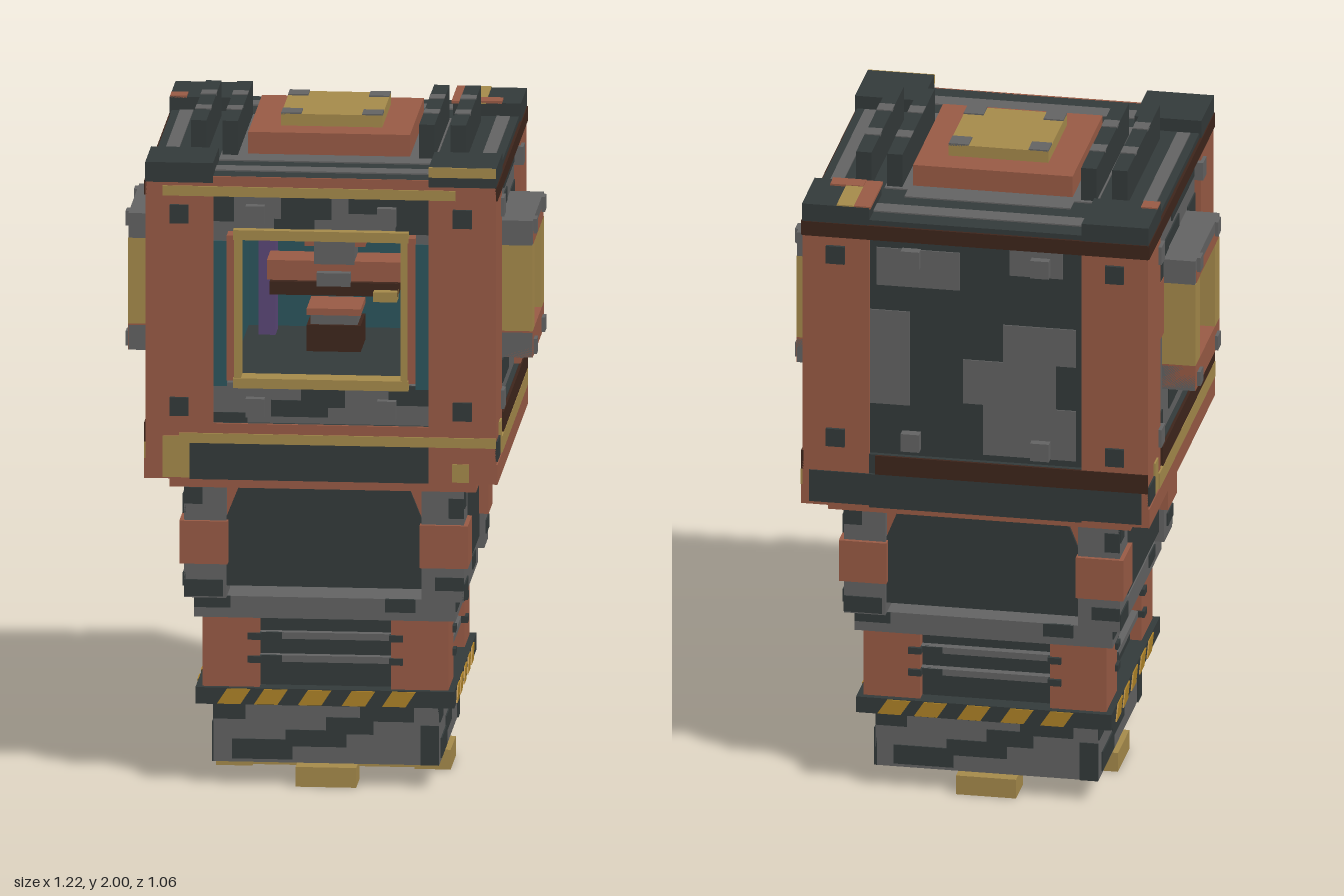
import * as THREE from 'three';

const colour = (name, hex) => {
  const m = new THREE.MeshStandardMaterial({ color: hex });
  m.name = name;
  return m;
};
const slate = colour('slate', 0x343b3b), grey = colour('grey', 0x646464), copper = colour('copper', 0x9b5c46);
const gold = colour('gold', 0xa88c4c), brown = colour('dark brown', 0x3f261c), teal = colour('teal', 0x2c565e);
const purple = colour('purple', 0x5c4879), amber = colour('amber', 0xb08428);

// Box given by its low and high corner on each axis
function box(parent, name, mat, x0, x1, y0, y1, z0, z1) {
  const m = new THREE.Mesh(new THREE.BoxGeometry(x1 - x0, y1 - y0, z1 - z0), mat);
  m.position.set((x0 + x1) / 2, (y0 + y1) / 2, (z0 + z1) / 2);
  m.name = name;
  parent.add(m);
  return m;
}
// Thin painted patches lying on a +z surface: [x0, x1, y0, y1]
function paint(parent, name, mat, z, rects) {
  rects.forEach(([a, b, c, d]) => box(parent, name, mat, a, b, c, d, z - 0.004, z + 0.004));
}
// Extruded outline in the xy plane, with an optional hole
function plate(parent, name, mat, pts, hole, z0, z1) {
  const s = new THREE.Shape(pts.map(p => new THREE.Vector2(...p)));
  if (hole) s.holes.push(new THREE.Path(hole.map(p => new THREE.Vector2(...p))));
  const m = new THREE.Mesh(new THREE.ExtrudeGeometry(s, { depth: z1 - z0, bevelEnabled: false }), mat);
  m.position.z = z0;
  m.name = name;
  parent.add(m);
}
const rect = (a, b, c, d) => [[a, c], [b, c], [b, d], [a, d]];

function corners(parent, name, mat, inner, outer, y0, y1) {
  for (const sx of [-1, 1]) for (const sz of [-1, 1]) {
    const mid = (inner + outer) / 2, h = (outer - inner) / 2;
    box(parent, name, mat, sx * mid - h, sx * mid + h, y0, y1, sz * mid - h, sz * mid + h);
  }
}

// Local side group: x to the right, z outwards; 0 front, 1 left, 2 back, 3 right
function side(parent, k) {
  const g = new THREE.Group();
  g.name = ['frontSide', 'leftSide', 'backSide', 'rightSide'][k];
  g.rotation.y = k * Math.PI / 2;
  parent.add(g);
  return g;
}

function frontWindow(g) {
  plate(g, 'frontWall', grey, rect(-0.32, 0.32, 1.14, 1.83), rect(-0.28, 0.28, 1.26, 1.72), 0.46, 0.5);
  paint(g, 'camouflage', slate, 0.5, [[-0.32, -0.26, 1.75, 1.83], [-0.12, 0.03, 1.76, 1.83], [0.08, 0.32, 1.78, 1.83],
    [-0.14, -0.02, 1.73, 1.76], [0.22, 0.32, 1.72, 1.78], [-0.32, -0.22, 1.14, 1.17], [-0.06, 0.07, 1.19, 1.25],
    [-0.15, 0.02, 1.16, 1.21], [0.2, 0.32, 1.2, 1.26]]);
  paint(g, 'tealBorder', teal, 0.501, [[-0.32, -0.28, 1.25, 1.69], [0.28, 0.32, 1.25, 1.69]]);
  // Frame round the opening
  for (const s of [-1, 1]) {
    box(g, 'copperWindowBar', copper, s * 0.267 - 0.013, s * 0.267 + 0.013, 1.27, 1.71, 0.46, 0.515);
    box(g, 'goldWindowPost', gold, s * 0.247 - 0.01, s * 0.247 + 0.01, 1.27, 1.71, 0.47, 0.525);
  }
  for (const y of [1.25, 1.7]) box(g, 'goldWindowRail', gold, -0.26, 0.26, y, y + 0.03, 0.46, 0.53);
  // Lined chamber
  box(g, 'chamberBack', teal, -0.3, 0.3, 1.24, 1.74, -0.26, -0.24);
  for (const s of [-1, 1]) {
    box(g, 'chamberSide', teal, s * 0.29 - 0.01, s * 0.29 + 0.01, 1.24, 1.74, -0.24, 0.46);
    box(g, 'purpleLight', purple, s * 0.215 - 0.025, s * 0.215 + 0.025, 1.26, 1.7, -0.2, -0.12);
  }
  box(g, 'chamberFloor', slate, -0.3, 0.3, 1.24, 1.26, -0.24, 0.46);
  box(g, 'chamberCeiling', slate, -0.3, 0.3, 1.72, 1.74, -0.24, 0.46);
  // Mechanism inside
  box(g, 'upperPiston', grey, -0.06, 0.06, 1.52, 1.72, -0.06, 0.06);
  box(g, 'lowerPiston', grey, -0.07, 0.07, 1.34, 1.37, -0.07, 0.07);
  box(g, 'pistonBase', brown, -0.08, 0.08, 1.26, 1.34, -0.08, 0.08);
  box(g, 'pistonTrim', copper, -0.08, 0.08, 1.37, 1.39, -0.08, 0.08);
  box(g, 'mechanismBar', brown, -0.19, 0.19, 1.43, 1.47, -0.06, 0.08);
  box(g, 'mechanismTop', copper, -0.2, 0.2, 1.47, 1.53, -0.06, 0.06);
  box(g, 'mechanismTooth', grey, -0.05, 0.05, 1.46, 1.5, 0.05, 0.09);
  box(g, 'mechanismTip', gold, 0.12, 0.19, 1.42, 1.45, 0.05, 0.11);
  for (const s of [-1, 1]) box(g, 'pistonLug', copper, s * 0.075 - 0.015, s * 0.075 + 0.015, 1.57, 1.61, -0.04, 0.04);
}

function sideWindow(g) {
  plate(g, 'sideWall', grey, rect(-0.32, 0.32, 1.14, 1.83), rect(-0.12, 0.12, 1.36, 1.62), 0.46, 0.5);
  paint(g, 'camouflage', slate, 0.5, [[-0.32, -0.2, 1.79, 1.83], [-0.05, 0.32, 1.76, 1.83], [-0.32, -0.1, 1.64, 1.71],
    [-0.18, 0.06, 1.7, 1.74], [0.2, 0.32, 1.64, 1.7], [-0.32, -0.2, 1.14, 1.22], [-0.1, 0.1, 1.18, 1.25],
    [0.05, 0.24, 1.22, 1.28], [0.2, 0.32, 1.27, 1.4]]);
  paint(g, 'copperPatch', copper, 0.501, [[-0.32, -0.19, 1.46, 1.64], [0.19, 0.32, 1.46, 1.64]]);
  // Projecting square port
  for (const s of [-1, 1]) {
    box(g, 'portPost', gold, s * 0.155 - 0.035, s * 0.155 + 0.035, 1.36, 1.62, 0.49, 0.6);
    for (const y of [1.28, 1.62]) box(g, 'portEnd', grey, s * 0.182 - 0.008, s * 0.182 + 0.008, y, y + 0.075, 0.49, 0.599);
    for (const y of [1.285, 1.65]) box(g, 'portStud', grey, s * 0.14 - 0.022, s * 0.14 + 0.022, y, y + 0.045, 0.59, 0.61);
    plate(g, 'portChamfer', copper, [[s * 0.12, 1.62], [s * 0.07, 1.62], [s * 0.12, 1.57]], null, 0.47, 0.5);
  }
  box(g, 'portLowerBar', copper, -0.19, 0.19, 1.28, 1.36, 0.49, 0.6);
  box(g, 'portUpperBar', copper, -0.174, 0.174, 1.62, 1.66, 0.49, 0.6);
  box(g, 'portCap', grey, -0.19, 0.19, 1.66, 1.695, 0.49, 0.6);
  box(g, 'portBack', grey, -0.14, 0.14, 1.34, 1.64, 0.31, 0.33);
  // Small linkage in the port
  box(g, 'portLinkTop', copper, -0.13, 0, 1.47, 1.53, 0.33, 0.36);
  box(g, 'portLinkBar', brown, -0.12, -0.04, 1.42, 1.47, 0.33, 0.36);
  box(g, 'portLinkTip', gold, -0.09, -0.04, 1.43, 1.49, 0.36, 0.38);
}

function backWall(g) {
  box(g, 'backWall', slate, -0.32, 0.32, 1.14, 1.83, 0.46, 0.5);
  paint(g, 'camouflage', grey, 0.5, [[0.02, 0.3, 1.16, 1.32], [-0.04, 0.24, 1.32, 1.46], [0.08, 0.3, 1.46, 1.58],
    [-0.32, -0.2, 1.3, 1.6], [-0.3, -0.05, 1.68, 1.8], [0.1, 0.26, 1.74, 1.83]]);
}

function head(root) {
  const g = new THREE.Group();
  g.name = 'head';
  root.add(g);
  corners(g, 'cornerPillar', copper, 0.32, 0.52, 0.97, 1.87);
  corners(g, 'cornerCap', slate, 0.32, 0.521, 1.87, 1.93);
  box(g, 'roof', slate, -0.515, 0.515, 1.83, 1.89, -0.515, 0.515);
  box(g, 'lowerBelt', slate, -0.515, 0.515, 0.97, 1.14, -0.515, 0.515);
  box(g, 'lowerLip', copper, -0.455, 0.455, 0.93, 0.97, -0.455, 0.455);
  for (let k = 0; k < 4; k++) {
    const s = side(g, k);
    if (k === 0) frontWindow(s);
    else if (k === 2) backWall(s);
    else sideWindow(s);
    // Trim belts above and below the wall
    if (k === 0) {
      paint(s, 'goldTrim', gold, 0.521, [[-0.47, 0.4, 1.83, 1.86], [-0.42, 0.52, 1.08, 1.11], [-0.47, -0.39, 0.975, 1.1],
        [0.39, 0.44, 0.975, 1.03], [0.32, 0.52, 1.9, 1.93]]);
      paint(s, 'copperTrim', copper, 0.516, [[-0.32, 0.32, 1.11, 1.14], [-0.32, 0.32, 1.86, 1.89]]);
      paint(s, 'darkBelt', slate, 0.52, [[-0.39, 0.32, 0.97, 1.08]]);
    } else {
      paint(s, 'brownTrim', brown, 0.52, [[-0.52, 0.52, 1.83, 1.875], [-0.3, 0.52, 1.08, 1.14]]);
      if (k === 2) paint(s, 'darkBelt', slate, 0.52, [[-0.5, 0.5, 0.98, 1.08]]);
      else {
        paint(s, 'copperBelt', copper, 0.52, [[-0.52, 0.52, 0.97, 1.03]]);
        paint(s, 'goldTrim', gold, 0.521, [[-0.36, 0.52, 1.03, 1.08], [-0.43, -0.38, 1.04, 1.14]]);
        paint(s, 'darkPatch', slate, 0.521, [[-0.52, -0.43, 1.04, 1.1]]);
      }
    }
    // Studs
    for (const y of [1.775, 1.19]) for (const x of k % 2 ? [-0.33, 0.33] : [-0.42, -0.195, 0.195, 0.42])
      box(s, 'stud', Math.abs(x) < 0.4 ? grey : slate, x - 0.028, x + 0.028, y - 0.028, y + 0.028, 0.49, 0.53);
  }
  // Roof painting, plates and rails
  const flat = (name, mat, a, b, c, d, y = 1.89) => box(g, name, mat, a, b, y - 0.004, y + 0.004, c, d);
  flat('roofField', grey, -0.32, 0.32, -0.27, 0.32);
  flat('roofField', grey, -0.25, 0.25, -0.325, -0.27);
  for (const s of [-1, 1]) {
    flat('roofStripe', grey, -0.32, 0.32, s * 0.42 - 0.03, s * 0.42 + 0.03);
    flat('roofStripe', grey, s * 0.47 - 0.02, s * 0.47 + 0.02, -0.31, 0.31);
    for (const x of [0.292, 0.385]) {
      box(g, 'roofRail', slate, s * x - 0.023, s * x + 0.023, 1.89, 1.997, -0.257, 0.257);
      for (const z of [-0.1, 0.09]) flat('railPatch', grey, s * x - 0.023, s * x + 0.023, z - 0.025, z + 0.025, 1.996);
    }
  }
  box(g, 'roofPlate', copper, -0.24, 0.24, 1.89, 1.96, -0.24, 0.237);
  box(g, 'roofButton', gold, -0.15, 0.15, 1.96, 1.996, -0.15, 0.147);
  for (const x of [-0.12, 0.12]) for (const z of [-0.12, 0.117])
    flat('buttonCorner', grey, x - 0.03, x + 0.03, z - 0.03, z + 0.03, 1.996);
  flat('capGoldStripe', gold, 0.365, 0.417, -0.52, -0.32, 1.93);
  flat('capCopperStripe', copper, 0.315, 0.365, -0.52, -0.32, 1.93);
  flat('capCopperPatch', copper, 0.365, 0.465, -0.37, -0.32, 1.932);
  flat('capCopperPatch', copper, -0.52, -0.47, -0.37, -0.32, 1.93);
}

function stem(root) {
  const g = new THREE.Group();
  g.name = 'stem';
  root.add(g);
  // Neck hanging between four posts, open below
  box(g, 'neckCore', copper, -0.39, 0.39, 0.62, 0.93, -0.39, 0.39);
  corners(g, 'neckPost', grey, 0.29, 0.415, 0.585, 0.93);
  corners(g, 'neckBracket', copper, 0.285, 0.428, 0.69, 0.82);
  box(g, 'neckLight', purple, -0.1, 0.1, 0.607, 0.62, -0.1, 0.1);
  box(g, 'collar', grey, -0.388, 0.388, 0.52, 0.585, -0.388, 0.388);
  // Ribbed waist
  box(g, 'waistCore', slate, -0.33, 0.33, 0.3, 0.52, -0.33, 0.33);
  corners(g, 'waistPost', copper, 0.195, 0.365, 0.305, 0.52);
  box(g, 'hazardBelt', slate, -0.384, 0.384, 0.255, 0.305, -0.384, 0.384);
  box(g, 'base', grey, -0.335, 0.335, 0.07, 0.255, -0.335, 0.335);
  for (let k = 0; k < 4; k++) {
    const s = side(g, k);
    plate(s, 'neckPanel', slate, [[-0.29, 0.62], [0.29, 0.62], [0.29, 0.83], [0.25, 0.93], [-0.25, 0.93], [-0.29, 0.83]],
      null, 0.385, 0.4);
    paint(s, 'postPatch', slate, 0.415, [[-0.415, -0.3, 0.59, 0.64], [-0.415, -0.36, 0.87, 0.92], [0.33, 0.415, 0.62, 0.66],
      [0.37, 0.415, 0.84, 0.9]]);
    paint(s, 'collarPatch', slate, 0.388, [[-0.388, -0.28, 0.55, 0.585], [0.18, 0.27, 0.545, 0.585]]);
    for (const y of [0.39, 0.46]) {
      box(s, 'waistRib', grey, -0.195, 0.195, y - 0.01, y + 0.01, 0.32, 0.355);
      paint(s, 'ribPatch', slate, 0.354, [[-0.195, -0.13, y - 0.01, y + 0.01]]);
      for (const e of [-1, 1]) box(s, 'waistPin', slate, e * 0.21 - 0.02, e * 0.21 + 0.02, y - 0.01, y + 0.01, 0.35, 0.375);
    }
    // Slanted warning stripes
    for (const x of [-0.28, -0.17, -0.04, 0.09, 0.21])
      plate(s, 'warningStripe', amber, [[x - 0.04, 0.257], [x + 0.03, 0.257], [x + 0.06, 0.303], [x - 0.01, 0.303]],
        null, 0.383, 0.388);
    paint(s, 'camouflage', slate, 0.335, [[-0.335, -0.24, 0.2, 0.255], [-0.28, -0.1, 0.08, 0.14], [-0.12, 0.06, 0.12, 0.17],
      [0, 0.14, 0.16, 0.21], [0.1, 0.26, 0.2, 0.255], [0.28, 0.335, 0.07, 0.19]]);
    box(s, 'foot', gold, -0.09, 0.09, 0, 0.06, 0.24, 0.348);
    box(s, 'footRail', gold, -0.28, 0.28, 0.05, 0.071, 0.17, 0.28);
  }
  // Underside socket with its small mechanism
  box(g, 'socketFloor', teal, -0.18, 0.18, 0.062, 0.072, -0.18, 0.18);
  box(g, 'socketBlock', brown, -0.11, 0.11, 0.02, 0.065, -0.11, 0.11);
  box(g, 'socketBar', brown, -0.17, 0.17, 0.022, 0.05, -0.05, 0.05);
  box(g, 'socketArm', copper, -0.05, 0.05, 0.018, 0.05, -0.16, 0.16);
  box(g, 'socketTip', gold, -0.04, 0.04, 0.01, 0.03, -0.04, 0.04);
}

export function createModel() {
  const root = new THREE.Group();
  root.name = 'lanternTower';
  head(root);
  stem(root);
  return root;
}
